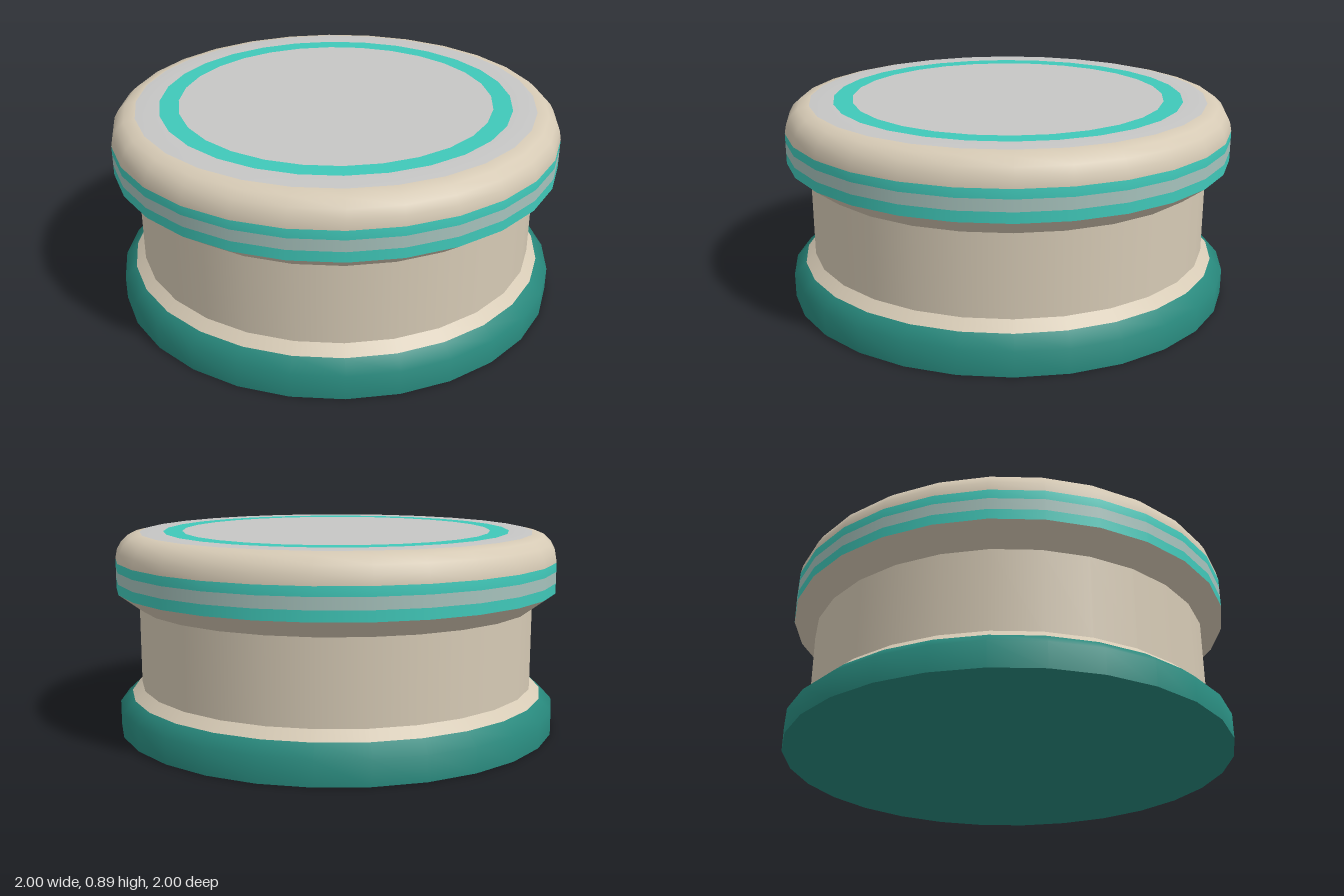
import * as THREE from 'three';

const SIDES = 28;
const material = (name, color) => new THREE.MeshStandardMaterial({ name, color });

export function createModel() {
  const cream = material('cream', 0xd6cab5);
  const teal = material('teal', 0x40c8b9);
  const deepTeal = material('deep teal', 0x28897d);
  const paleGreen = material('pale grey green', 0xa6c2bc);
  const grey = material('light grey', 0xc6c6c5);

  const model = new THREE.Group();
  model.name = 'roundPuck';

  // Turns one smooth profile and splits it into coloured bands;
  // each band is [name, material, number of profile steps].
  function turned(profile, bands) {
    const points = profile.map(([r, y]) => new THREE.Vector2(r, y));
    const lathe = new THREE.LatheGeometry(points, SIDES);
    const steps = profile.length - 1;
    const source = lathe.index.array;
    let first = 0;
    for (const [name, mat, count] of bands) {
      const index = [];
      for (let s = 0; s < SIDES; s++) {
        const start = (s * steps + first) * 6;
        index.push(...source.slice(start, start + count * 6));
      }
      const geometry = lathe.clone();
      geometry.setIndex(index);
      const mesh = new THREE.Mesh(geometry, mat);
      mesh.name = name;
      model.add(mesh);
      first += count;
    }
  }

  // Base: flat underside, foot with a bevelled shoulder
  turned([[0, 0], [1, 0]], [['underside', deepTeal, 1]]);
  turned([[1, 0], [1, 0.11], [0.945, 0.16], [0.9, 0.2]],
    [['foot', deepTeal, 2], ['footShoulder', cream, 1]]);

  // Waist
  turned([[0.9, 0.2], [0.9, 0.56]], [['waist', cream, 1]]);

  // Cap: sloping underside, striped wall, rounded rim
  turned([[0.9, 0.56], [1, 0.635]], [['capUnderside', cream, 1]]);
  turned([
    [1, 0.635], [1, 0.68], [1, 0.73], [1, 0.77],
    [0.992, 0.81], [0.973, 0.845], [0.94, 0.875], [0.89, 0.887],
    [0.785, 0.888], [0.7, 0.888], [0, 0.888],
  ], [
    ['lowerStripe', teal, 1], ['middleStripe', paleGreen, 1], ['upperStripe', teal, 1],
    ['rim', cream, 4],
    ['topBorder', grey, 1], ['topRing', teal, 1], ['topDisc', grey, 1],
  ]);

  return model;
}
